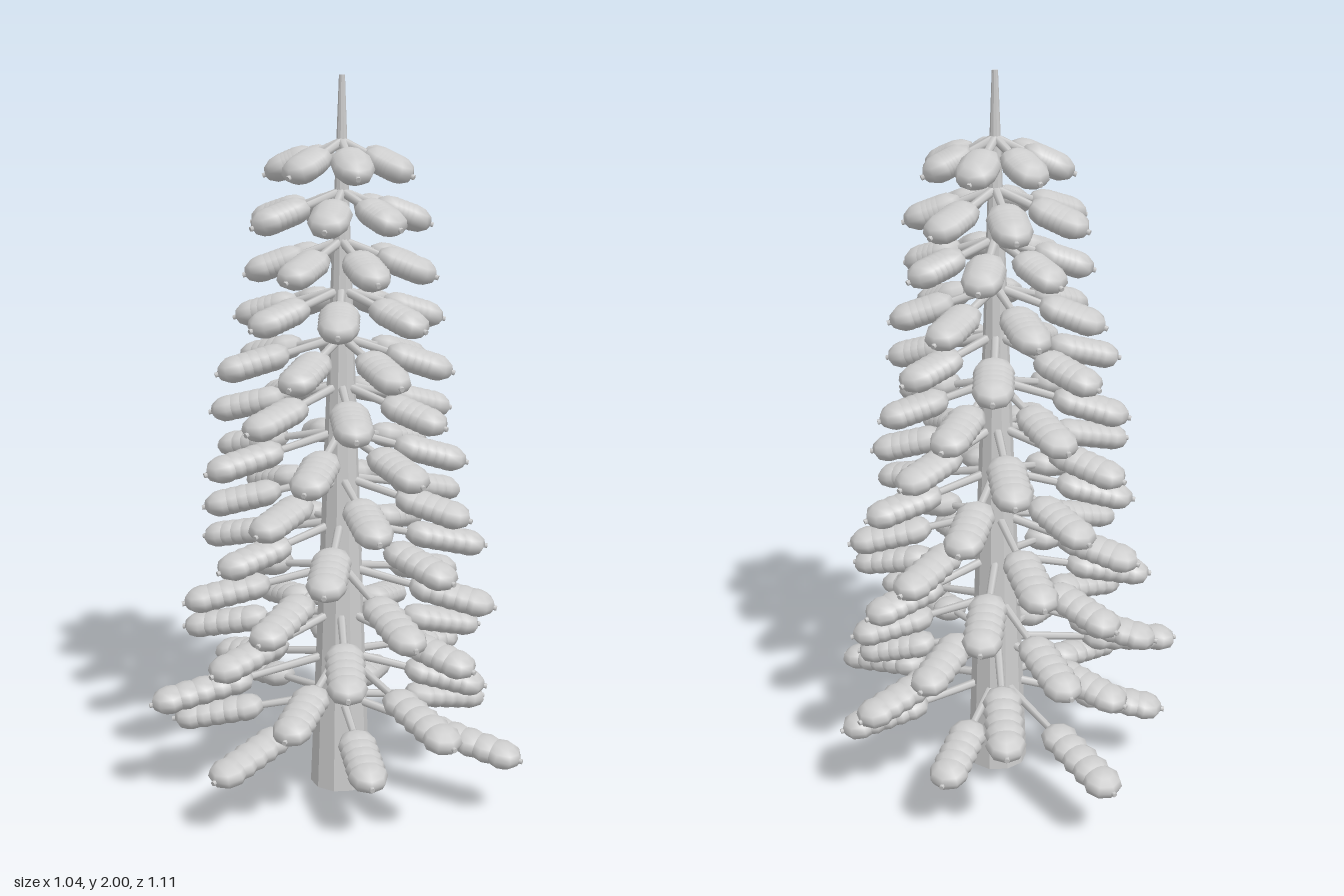
import * as THREE from 'three';

const CENTER_X = 0.04, CENTER_Z = 0.012;
const BRANCHES = 7, DROP = 0.09;

// Branch reach per tier: seven values give each branch, four give the +x, +z, -x, -z directions
const REACH = [
  [0.475, 0.56, 0.44, 0.52, 0.49, 0.575, 0.47],
  [0.42, 0.55, 0.45, 0.56, 0.44, 0.52, 0.5],
  [0.42, 0.46, 0.46, 0.48],
  [0.42, 0.48, 0.45, 0.45],
  [0.42, 0.42, 0.39, 0.46],
  [0.39, 0.38, 0.38, 0.41],
  [0.35, 0.36, 0.4, 0.4],
  [0.33, 0.33, 0.36, 0.39],
  [0.3, 0.33, 0.35, 0.35],
  [0.29, 0.29, 0.3, 0.32],
  [0.26, 0.28, 0.27, 0.25],
  [0.25, 0.23, 0.27, 0.27],
  [0.2, 0.22, 0.21, 0.21],
];

function reachOf(row, index, angle) {
  if (row.length === BRANCHES) return row[index];
  const q = (angle / (Math.PI / 2)) % 4;
  const k = Math.floor(q);
  return THREE.MathUtils.lerp(row[k], row[(k + 1) % 4], q - k);
}

export function createModel() {
  const tree = new THREE.Group();
  tree.name = 'coniferTree';
  const grey = new THREE.MeshStandardMaterial({ color: 0xcccccc });
  grey.name = 'light grey';

  // Tapered faceted trunk
  const trunkGeometry = new THREE.CylinderGeometry(0.008, 0.086, 2, 10).toNonIndexed();
  trunkGeometry.computeVertexNormals();
  const trunk = new THREE.Mesh(trunkGeometry, grey);
  trunk.name = 'trunk';
  trunk.position.set(CENTER_X, 1, CENTER_Z);
  tree.add(trunk);

  // Unit twig lying along +x, and a flattened needle clump
  const twigGeometry = new THREE.CylinderGeometry(0.007, 0.013, 1, 6);
  twigGeometry.rotateZ(-Math.PI / 2).translate(0.5, 0, 0);
  const clumpGeometry = new THREE.SphereGeometry(0.055, 8, 6).scale(1, 0.66, 1);

  REACH.forEach((row, t) => {
    const tier = new THREE.Group();
    tier.name = `branchTier${t + 1}`;
    tier.position.set(CENTER_X, 0.27 + t * 0.13, CENTER_Z);
    const spacing = (Math.PI * 2) / BRANCHES;
    const phase = (t * Math.PI / 6) % spacing; // each whorl is turned 30 degrees

    for (let j = 0; j < BRANCHES; j++) {
      const angle = phase + j * spacing;
      const reach = reachOf(row, j, angle);
      const branch = new THREE.Group();
      branch.name = 'branch';
      branch.rotation.set(0, -angle, -Math.atan2(DROP, reach));

      const length = Math.hypot(reach, DROP);
      const twig = new THREE.Mesh(twigGeometry, grey);
      twig.name = 'twig';
      twig.scale.x = length;
      branch.add(twig);

      // Overlapping clumps along the outer part of the twig
      for (let k = 0; k < 5; k++) {
        const clump = new THREE.Mesh(clumpGeometry, grey);
        clump.name = 'needleClump';
        clump.position.x = THREE.MathUtils.lerp(length * 0.56, length - 0.06, k / 4);
        branch.add(clump);
      }
      tier.add(branch);
    }
    tree.add(tier);
  });
  return tree;
}
